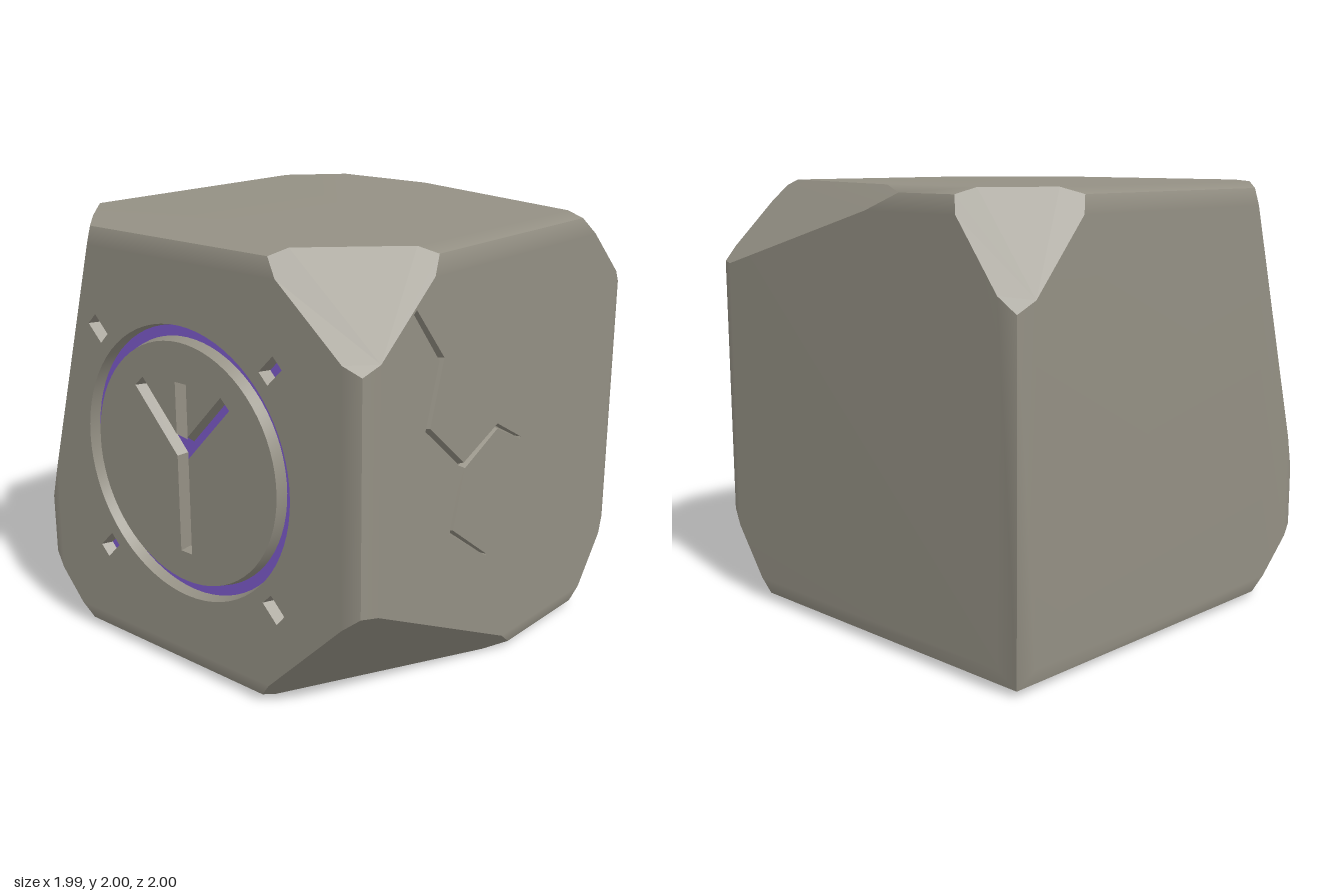
import * as THREE from 'three';
import { toCreasedNormals } from 'three/addons/utils/BufferGeometryUtils.js';

const V3 = (x, y, z) => new THREE.Vector3(x, y, z);
const V2 = (x, y) => new THREE.Vector2(x, y);
const HALF = [0.995, 0.998, 1];   // half sizes of the block
const INSET = 0.028;              // how far worn edges sit below the faces

// All planes bounding the block: six sides, two shallow bevels per edge, chipped corners
function blockPlanes() {
  const planes = [];
  const add = (n, p, side) => planes.push({ n: n.normalize(), d: n.dot(p), side });
  const axis = (i, s) => V3(0, 0, 0).setComponent(i, s);
  for (let i = 0; i < 3; i++) for (const s of [1, -1]) {
    add(axis(i, s), axis(i, s * HALF[i]), (s > 0 ? '+' : '-') + 'xyz'[i]);
    for (let j = 0; j < 3; j++) for (const t of [1, -1]) {
      if (j === i) continue;
      const edge = axis(i, s * (HALF[i] - INSET)).add(axis(j, t * (HALF[j] - INSET)));
      add(axis(i, s * Math.cos(0.35)).add(axis(j, t * Math.sin(0.35))), edge);
    }
  }
  // corner signs, then where the chip meets the three edges (y measured from the middle)
  const chips = [
    [1, 1, 1, 0.49, 0.57, 0.5],
    [1, -1, 1, 0.42, -0.43, -0.13],
    [-1, -1, 1, -0.71, -0.69, 0.67],
    [-1, 1, 1, -0.57, -0.4, 0.58],
    [1, 1, -1, -0.3, 0.62, -0.6],
    [-1, 1, -1, -0.63, 0.53, -0.59],
    [1, -1, -1, 0.69, -0.6, -0.69],
  ];
  for (const [sx, sy, sz, x, y, z] of chips) {
    const c = V3(sx, sy, sz).multiply(V3(...HALF.map((h) => h - INSET)));
    add(V3(1 / (c.x - x), 1 / (c.y - y), 1 / (c.z - z)), V3(x, c.y, c.z));
  }
  return planes;
}

// Polygon of one plane, cut down by all the others
function clipFace(face, planes) {
  const u = (Math.abs(face.n.y) > 0.9 ? V3(1, 0, 0) : V3(0, 1, 0)).cross(face.n).normalize();
  const v = face.n.clone().cross(u);
  let poly = [[-4, -4], [4, -4], [4, 4], [-4, 4]].map(([a, b]) =>
    face.n.clone().multiplyScalar(face.d).addScaledVector(u, a).addScaledVector(v, b));
  for (const q of planes) {
    if (q === face) continue;
    const out = [];
    poly.forEach((a, i) => {
      const b = poly[(i + 1) % poly.length];
      const da = q.n.dot(a) - q.d, db = q.n.dot(b) - q.d;
      if (da <= 1e-7) out.push(a);
      if ((da > 1e-7) !== (db > 1e-7)) out.push(a.clone().lerp(b, da / (da - db)));
    });
    poly = out;
  }
  return poly;
}

function polyArea(poly) {
  const sum = V3(0, 0, 0);
  for (let i = 1; i < poly.length - 1; i++) {
    sum.add(poly[i].clone().sub(poly[0]).cross(poly[i + 1].clone().sub(poly[0])));
  }
  return sum.length() / 2;
}

// Faces as fans, shading blended across shallow edges and kept sharp at steep ones
function blockGeometry(faces, skip) {
  const pos = [], nor = [];
  const normalAt = (f, p) => {
    const n = V3(0, 0, 0);
    for (const g of faces) {
      if (g.n.dot(f.n) > 0.88 && g.poly.some((q) => q.distanceTo(p) < 1e-4)) n.addScaledVector(g.n, g.area);
    }
    return n.lengthSq() > 0 ? n.normalize() : f.n;
  };
  for (const f of faces) {
    if (skip.includes(f.side)) continue;
    for (let i = 1; i < f.poly.length - 1; i++) {
      for (const p of [f.poly[0], f.poly[i], f.poly[i + 1]]) {
        pos.push(...p.toArray());
        nor.push(...normalAt(f, p).toArray());
      }
    }
  }
  const g = new THREE.BufferGeometry();
  g.setAttribute('position', new THREE.Float32BufferAttribute(pos, 3));
  g.setAttribute('normal', new THREE.Float32BufferAttribute(nor, 3));
  return g;
}

// Outline at half width w around a closed walk over a branching line [x, y, widthFactor]
function outline(walk, w) {
  const pts = [], n = walk.length;
  const left = (a, b) => V2(a[1] - b[1], b[0] - a[0]).normalize();
  walk.forEach((p, i) => {
    const a = walk[(i + n - 1) % n], b = walk[(i + 1) % n], r = w * (p[2] ?? 1);
    const n1 = left(a, p), n2 = left(p, b), c = V2(p[0], p[1]);
    if (n1.dot(n2) < -0.999) {     // square end
      const ahead = V2(n1.y, -n1.x);
      c.addScaledVector(ahead, r);
      pts.push(c.clone().addScaledVector(n1, r), c.clone().addScaledVector(n2, r));
    } else {
      pts.push(c.addScaledVector(n1.clone().add(n2), r / (1 + n1.dot(n2))));
    }
  });
  return pts;
}

function circle(r, dir) {
  return Array.from({ length: 72 }, (_, i) =>
    V2(r * Math.cos(i * Math.PI / 36), dir * r * Math.sin(i * Math.PI / 36)));
}

// Sloping wall from a rim on the surface down to a floor outline
function wall(rim, floor, depth) {
  const pos = [];
  rim.forEach((a, i) => {
    const j = (i + 1) % rim.length, b = rim[j], c = floor[j], d = floor[i];
    pos.push(a.x, a.y, 0, d.x, d.y, -depth, c.x, c.y, -depth, a.x, a.y, 0, c.x, c.y, -depth, b.x, b.y, 0);
  });
  const g = new THREE.BufferGeometry();
  g.setAttribute('position', new THREE.Float32BufferAttribute(pos, 3));
  return toCreasedNormals(g, 0.4);
}

function plate(points, holes = []) {
  const s = new THREE.Shape(points);
  s.holes = holes.map((h) => new THREE.Path(h));
  return new THREE.ShapeGeometry(s);
}

export function createModel() {
  const stone = new THREE.MeshStandardMaterial({ color: 0x949084 });
  stone.name = 'weathered stone';
  const glow = new THREE.MeshStandardMaterial({ color: 0x7d5bcb });
  glow.name = 'violet inlay';

  const model = new THREE.Group();
  model.name = 'carvedStoneBlock';
  const mesh = (parent, name, geo, mat, z = 0) => {
    const m = new THREE.Mesh(geo, mat);
    m.name = name;
    m.position.z = z;
    parent.add(m);
  };
  const groove = (parent, name, walk, w, floorW, depth, floorMat) => {
    const rim = outline(walk, w), floor = outline(walk, floorW);
    mesh(parent, name + 'Walls', wall(rim, floor, depth), stone);
    mesh(parent, name + 'Floor', plate(floor), floorMat, -depth);
    return rim;
  };

  // Block body
  const planes = blockPlanes();
  const faces = planes.map((p) => ({ ...p, poly: clipFace(p, planes) })).filter((f) => f.poly.length > 2);
  faces.forEach((f) => { f.area = polyArea(f.poly); });
  const body = new THREE.Group();
  body.name = 'block';
  body.position.y = 1;
  model.add(body);
  mesh(body, 'stoneBody', blockGeometry(faces, ['+z', '+x']), stone);

  // Front face with ring, forked symbol and four ticks
  const front = new THREE.Group();
  front.name = 'carvedFront';
  front.position.z = HALF[2];
  body.add(front);
  const depth = 0.05, fork = [0, 0.05];
  const symbolWalk = [[0, -0.375], fork, [-0.24, 0.305], fork, [0, 0.335], fork, [0.24, 0.305], fork];
  const symbolRim = groove(front, 'symbol', symbolWalk, 0.034, 0.02, depth, glow);
  const holes = [];
  for (const sx of [1, -1]) for (const sy of [1, -1]) {
    const tick = [0.506, 0.536].map((r) => [sx * r, sy * r]);
    holes.push(groove(front, 'tick', tick, 0.034, 0.021, depth, glow));
  }
  const ringRim = circle(0.62, -1), discRim = circle(0.547, 1);
  mesh(front, 'ringOuterWall', wall(ringRim, circle(0.608, -1), depth), stone);
  mesh(front, 'ringInnerWall', wall(discRim, circle(0.56, 1), depth), stone);
  mesh(front, 'ringFloor', new THREE.RingGeometry(0.56, 0.608, 72), glow, -depth);
  mesh(front, 'disc', plate(discRim, [symbolRim]), stone);
  const frontPoly = faces.find((f) => f.side === '+z').poly.map((p) => V2(p.x, p.y));
  mesh(front, 'frontFace', plate(frontPoly, [ringRim, ...holes]), stone);

  // Side face with a branching crack
  const side = new THREE.Group();
  side.name = 'crackedSide';
  side.position.x = HALF[0];
  side.rotation.y = Math.PI / 2;
  body.add(side);
  const a = [-0.68, 0.765, 0.8], b = [-0.505, 0.55, 1], c = [-0.59, 0.27, 1], j = [-0.33, 0.045, 1];
  const d = [-0.08, 0.16, 0.7], e = [0.105, 0.06, 0.35], f = [-0.405, -0.23, 0.7], g = [-0.135, -0.425, 0.3];
  const crackRim = groove(side, 'crack', [a, b, c, j, d, e, d, j, f, g, f, j, c, b], 0.015, 0.004, 0.03, stone);
  const sidePoly = faces.find((q) => q.side === '+x').poly.map((p) => V2(-p.z, p.y));
  mesh(side, 'sideFace', plate(sidePoly, [crackRim]), stone);

  return model;
}
